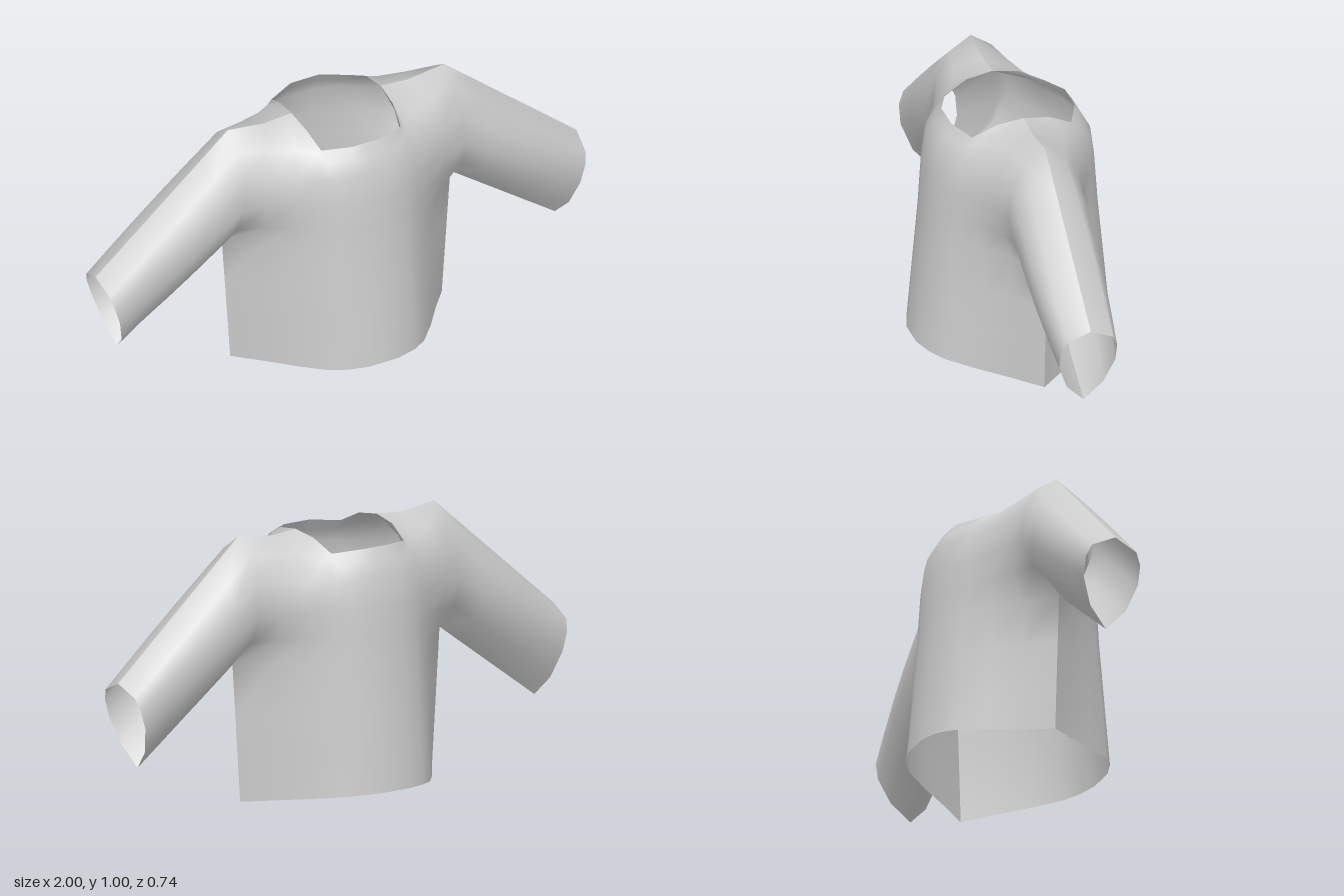
import * as THREE from 'three';
import { mergeVertices } from 'three/addons/utils/BufferGeometryUtils.js';

// Torso cross-sections, each from the centre front out to the side seam or armhole
const hem = [[0, .05, .37], [.06, .05, .37], [.14, .047, .345], [.2, .041, .305], [.28, .028, .21], [.36, .013, .1], [.44, 0, 0]];
const armpit = [[0, .52, .325], [.06, .52, .325], [.14, .52, .302], [.2, .52, .262], [.28, .52, .185], [.37, .52, .1], [.475, .52, 0]];
const ribs = [[0, .63, .317], [.06, .63, .317], [.14, .63, .295], [.2, .63, .255], [.28, .63, .195], [.37, .63, .14], [.468, .62, .1]];
const chest = [[0, .73, .31], [.06, .73, .31], [.14, .73, .288], [.2, .73, .252], [.28, .73, .205], [.37, .73, .165], [.462, .73, .143]];
const upperChest = [[0, .84, .295], [.06, .84, .295], [.14, .84, .272], [.19, .84, .242], [.27, .84, .198], [.36, .845, .16], [.456, .85, .13]];
const collarbone = [[0, .895, .265], [.06, .895, .265], [.155, .888, .23], [.185, .915, .185], [.25, .93, .137], [.345, .938, .105], [.452, .945, .08]];
const neckAndShoulder = [[0, .94, .236], [.06, .94, .236], [.165, .93, .19], [.18, .975, .1], [.186, .99, 0], [.3, .981, 0], [.45, 1, 0]];

// Cuff half-loop, from the underarm seam to the upper seam
const cuff = [[.91, .2, 0], [.93, .275, .07], [.957, .375, .108], [.978, .445, .108], [.99, .49, .088], [1, .53, 0]];

const mix = (a, b, t) => a.map((v, i) => v + (b[i] - v) * t);
const mixRow = (a, b, t) => a.map((p, i) => mix(p, b[i], t));

// Joins neighbouring rows with quads, and mirrors them to the other side
function addGrid(out, rows) {
  const quad = (a, b, c, d) => out.push(...a, ...b, ...c, ...a, ...c, ...d);
  const flip = ([x, y, z]) => [-x, y, z];
  for (let r = 0; r < rows.length - 1; r++) {
    for (let c = 0; c < rows[r].length - 1; c++) {
      const q = [rows[r][c], rows[r][c + 1], rows[r + 1][c + 1], rows[r + 1][c]];
      quad(...q);
      quad(...q.map(flip).reverse());
    }
  }
}

// Half of the garment: torso and both sleeves, bounded by the seams at z = 0
function panelGeometry() {
  const out = [];
  const lower = [0, .33, .66].map(t => mixRow(hem, armpit, t));
  const upper = [armpit, ribs, chest, upperChest, collarbone, neckAndShoulder];
  addGrid(out, [...lower, ...upper]);

  // Sleeves run from the armhole to the cuff, slightly full in the middle
  const stations = [0, .2, .4, .6, .82, 1];
  addGrid(out, upper.map((row, i) => stations.map(t => {
    const p = mix(row[row.length - 1], cuff[i], t);
    p[2] *= 1 + .09 * Math.sin(Math.PI * t);
    return p;
  })));

  const g = new THREE.BufferGeometry();
  g.setAttribute('position', new THREE.Float32BufferAttribute(out, 3));
  const merged = mergeVertices(g, 1e-4);
  merged.computeVertexNormals();
  return merged;
}

export function createModel() {
  const model = new THREE.Group();
  model.name = 'longSleevedTop';
  const fabric = new THREE.MeshStandardMaterial({ color: 0xcccccc, side: THREE.DoubleSide });
  fabric.name = 'greyFabric';

  const geometry = panelGeometry();
  const front = new THREE.Mesh(geometry, fabric);
  front.name = 'frontPanel';
  const back = new THREE.Mesh(geometry, fabric);
  back.name = 'backPanel';
  back.rotation.y = Math.PI;
  model.add(front, back);
  return model;
}
